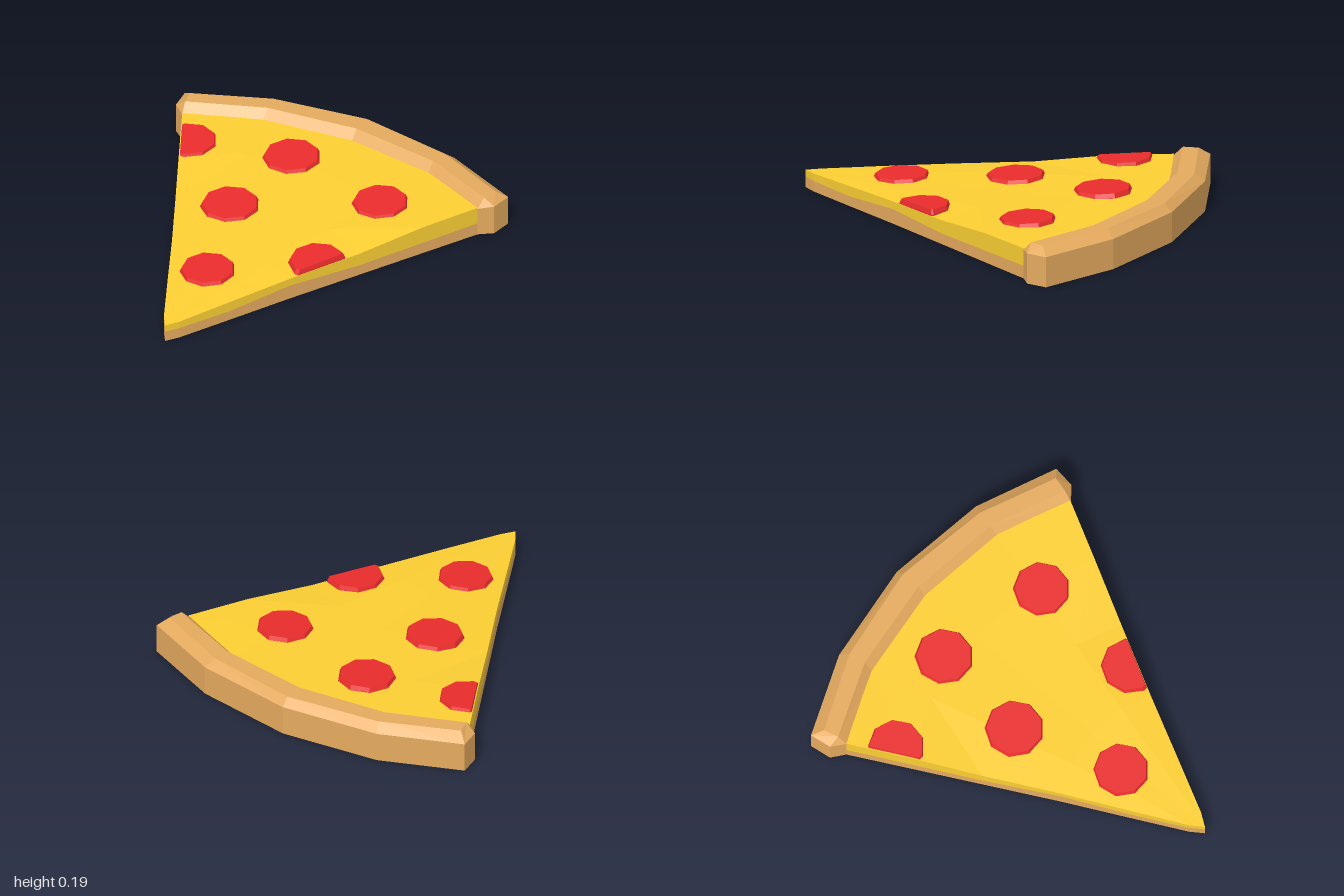
import * as THREE from 'three';

const mat = (color) => new THREE.MeshStandardMaterial({ color, flatShading: true });

// Skin a list of equal-length closed rings of [x, y, z] points and cap both ends.
// Rings run clockwise when looking along the direction of travel.
function loft(rings) {
  const n = rings[0].length;
  const index = [];
  for (let r = 0; r < rings.length - 1; r++) {
    for (let i = 0; i < n; i++) {
      const j = (i + 1) % n;
      const a = r * n + i, b = r * n + j, c = a + n, d = b + n;
      index.push(a, b, d, a, d, c);
    }
  }
  // Zigzag caps, so bent end faces follow their outline
  const last = (rings.length - 1) * n;
  for (let lo = 0, hi = n - 1; hi - lo > 1;) {
    const tri = (hi + lo) % 2 === (n - 1) % 2 ? [lo, lo + 1, hi] : [lo, hi - 1, hi];
    if (tri[1] === lo + 1) lo++;
    else hi--;
    index.push(tri[0], tri[2], tri[1], last + tri[0], last + tri[1], last + tri[2]);
  }
  const g = new THREE.BufferGeometry();
  g.setAttribute('position', new THREE.Float32BufferAttribute(rings.flat(2), 3));
  g.setIndex(index);
  const flat = g.toNonIndexed();
  flat.computeVertexNormals();
  return flat;
}

// Wedge layers: rows fan out from the tip (t = 0) to the crust (t = 1)
const BACK = [[-0.84, -0.6], [-0.47, -0.76], [0, -0.825], [0.47, -0.76], [0.84, -0.6]];
const ROWS = [
  // t, width, dough top, cheese edge, cheese middle
  [0, 0, 0.055, 0.09, 0.09],
  [0.04, 0.053, 0.054, 0.092, 0.092],
  [0.2, 0.208, 0.05, 0.103, 0.108],
  [0.4, 0.4, 0.075, 0.115, 0.125],
  [0.62, 0.62, 0.055, 0.122, 0.138],
  [0.82, 0.82, 0.06, 0.15, 0.148],
  [1, 1, 0.065, 0.155, 0.15],
];

function wedge(topOf, bottomOf) {
  return loft(ROWS.map((row) => {
    const at = (heightOf) => BACK.map(([x, z], i) => [
      x * row[1], heightOf(row, i === 0 || i === 4), 1 + (z - 1) * row[0],
    ]);
    return [...at(topOf), ...at(bottomOf).reverse()];
  }));
}

// Crust rim: chamfered profile swept through five stations, with angled ends
function crustGeometry() {
  const H = 0.155, T = 0.195;
  const station = (s, [O, R1, R2, I]) => [
    [s * O[0], 0, O[1]], [s * O[0], H, O[1]],
    [s * R1[0], T, R1[1]], [s * R2[0], T, R2[1]],
    [s * I[0], 0.149, I[1]], [s * I[0], 0, I[1]],
  ];
  const end = [[0.92, -0.76], [0.87, -0.72], [0.85, -0.645], [0.84, -0.6]];
  const mid = [[0.513, -0.93], [0.487, -0.885], [0.47, -0.8], [0.47, -0.755]];
  const centre = [[0, -1], [0, -0.96], [0, -0.86], [0, -0.815]];
  const cap = (s) => {
    const O = [s * 0.92, H, -0.76], S = [s * 0.905, H, -0.65];
    return [[O[0], 0, O[2]], O, O, S, S, [S[0], 0, S[2]]];
  };
  return loft([
    cap(-1), station(-1, end), station(-1, mid), station(1, centre),
    station(1, mid), station(1, end), cap(1),
  ]);
}

// Keep the part of an [x, z] outline that lies just inside the cut sides of the slice
function clipToSlice(points) {
  for (const s of [-1, 1]) {
    const inside = ([x, z]) => 0.525 * (1 - z) - 0.002 - s * x;
    const out = [];
    points.forEach((p, i) => {
      const q = points[(i + 1) % points.length];
      const dp = inside(p), dq = inside(q);
      if (dp >= 0) out.push(p);
      if (dp * dq < 0) {
        const k = dp / (dp - dq);
        out.push([p[0] + (q[0] - p[0]) * k, p[1] + (q[1] - p[1]) * k]);
      }
    });
    points = out;
  }
  return points;
}

// Nine-sided topping disc with bevelled rim, tilted with the cheese
function toppingGeometry(cx, cz, radius, top) {
  const outline = [];
  for (let i = 0; i < 9; i++) {
    const a = (i / 9) * Math.PI * 2;
    outline.push([cx + radius * Math.sin(a), cz - radius * Math.cos(a)]);
  }
  const base = clipToSlice(outline);
  const mx = base.reduce((sum, p) => sum + p[0], 0) / base.length;
  const mz = base.reduce((sum, p) => sum + p[1], 0) / base.length;
  const ring = (scale, y) => base.map(([x, z]) => [
    mx + (x - mx) * scale, y - 0.04 * (z - cz), mz + (z - mz) * scale,
  ]);
  return loft([ring(0.92, top), ring(0.99, top - 0.022), ring(1, top - 0.036)]);
}

export function createModel() {
  const model = new THREE.Group();
  model.name = 'pizzaSlice';
  const add = (name, geometry, material) => {
    const mesh = new THREE.Mesh(geometry, material);
    mesh.name = name;
    model.add(mesh);
  };

  const dough = mat(0xe5aa5e);
  add('doughBase', wedge((r) => r[2], () => 0), dough);
  add('crust', crustGeometry(), dough);
  add('cheese', wedge((r, edge) => (edge ? r[3] : r[4]), (r) => r[2]), mat(0xfccf33));

  // Toppings: x, z, radius, top height
  const red = mat(0xea2c2c);
  [
    [-0.18, -0.535, 0.148, 0.168],
    [0.4, -0.405, 0.144, 0.165],
    [-0.69, -0.405, 0.144, 0.164],
    [-0.235, -0.032, 0.15, 0.153],
    [0.385, 0.18, 0.145, 0.147],
    [-0.05, 0.5, 0.141, 0.132],
  ].forEach(([x, z, r, y], i) => add(`pepperoni${i + 1}`, toppingGeometry(x, z, r, y), red));

  return model;
}
